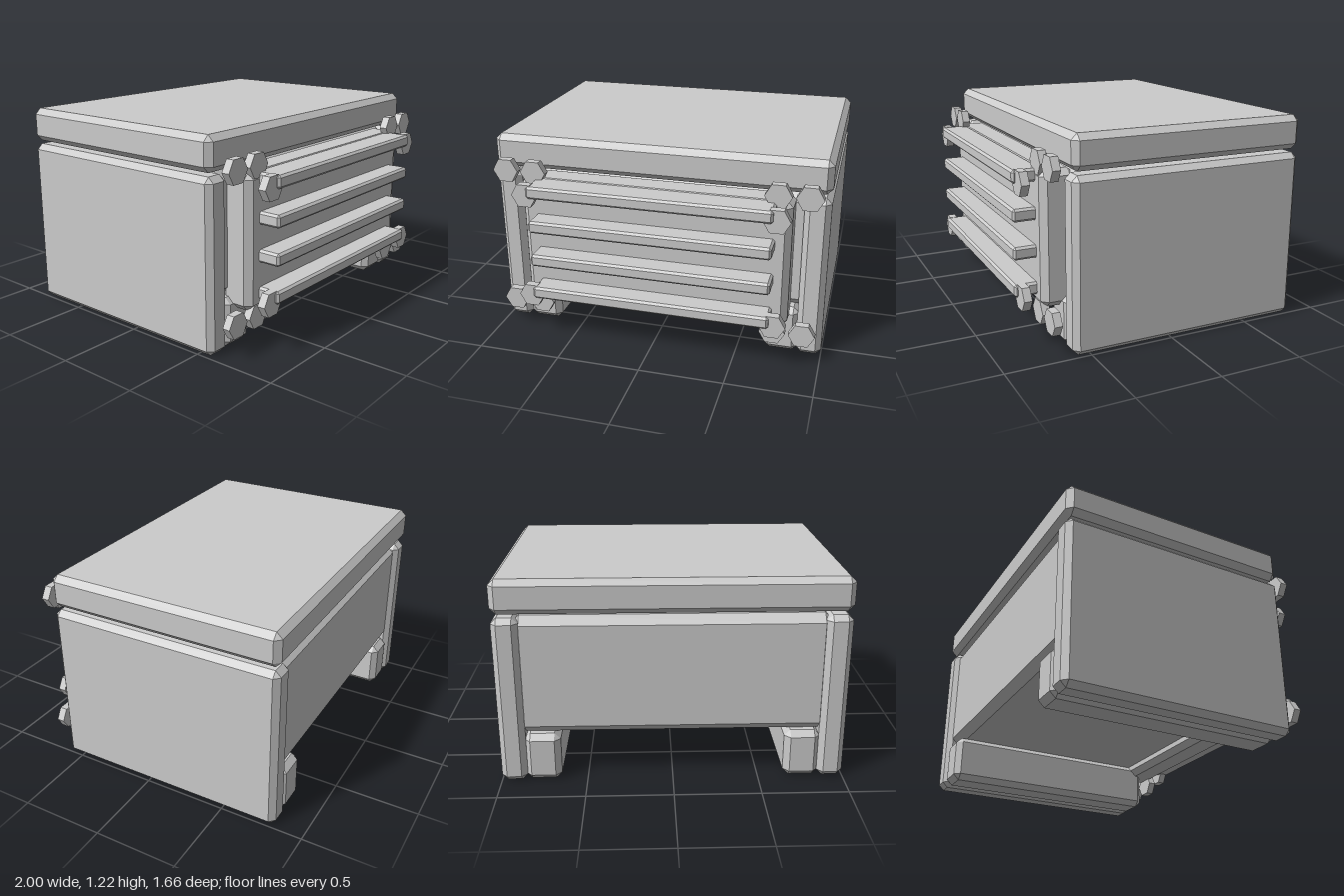
import * as THREE from 'three';
import { ConvexGeometry } from 'three/addons/geometries/ConvexGeometry.js';

const material = new THREE.MeshStandardMaterial({ color: 0xcccccc, flatShading: true });

// Box with bevelled edges and corners, given by its min and max on each axis
function bevelBox(name, [x0, x1], [y0, y1], [z0, z1], c) {
  const center = new THREE.Vector3((x0 + x1) / 2, (y0 + y1) / 2, (z0 + z1) / 2);
  const half = [(x1 - x0) / 2, (y1 - y0) / 2, (z1 - z0) / 2];
  const points = [];
  for (const sx of [-1, 1]) for (const sy of [-1, 1]) for (const sz of [-1, 1]) {
    for (let axis = 0; axis < 3; axis++) {
      const p = half.map((h, i) => (i === axis ? h : h - c));
      points.push(new THREE.Vector3(p[0] * sx, p[1] * sy, p[2] * sz));
    }
  }
  const mesh = new THREE.Mesh(new ConvexGeometry(points), material);
  mesh.name = name;
  mesh.position.copy(center);
  return mesh;
}

// Hexagonal bolt head facing +z, with corners to the left and right
const boltGeometry = new THREE.CylinderGeometry(0.077, 0.077, 0.047, 6);
boltGeometry.rotateX(Math.PI / 2).rotateZ(Math.PI / 2);
function bolt(x, y, z) {
  const mesh = new THREE.Mesh(boltGeometry, material);
  mesh.name = 'bolt';
  mesh.position.set(x, y, z);
  return mesh;
}

export function createModel() {
  const model = new THREE.Group();
  model.name = 'cabinet';

  // Lid and main body
  model.add(bevelBox('lid', [-1, 1], [1.02, 1.22], [-0.83, 0.6], 0.035));
  model.add(bevelBox('body', [-0.9, 0.9], [0.29, 1.0], [-0.8, 0.55], 0.05));

  // Side panels and the runners they stand beside
  for (const s of [-1, 1]) {
    const span = (a, b) => (s > 0 ? [a, b] : [-b, -a]);
    model.add(bevelBox('sidePanel', span(0.85, 1), [0, 1], [-0.83, 0.6], 0.033));
    model.add(bevelBox('runner', span(0.65, 0.86), [0, 0.29], [-0.82, 0.59], 0.035));
  }

  // Front plate with four horizontal bars
  model.add(bevelBox('frontPlate', [-0.8, 0.8], [0.22, 1.0], [0.5, 0.7], 0.037));
  for (let i = 0; i < 4; i++) {
    const y = 0.315 + i * 0.215;
    model.add(bevelBox('grilleBar', [-0.712, 0.712], [y - 0.037, y + 0.037], [0.66, 0.83], 0.013));
  }

  // Bolts: three clustered at each front corner
  for (const s of [-1, 1]) {
    for (const [y, innerY] of [[0.185, 0.287], [1.035, 0.933]]) {
      model.add(bolt(s * 0.89, y, 0.678));
      model.add(bolt(s * 0.718, y, 0.678));
      model.add(bolt(s * 0.73, innerY, 0.787));
    }
  }
  return model;
}
